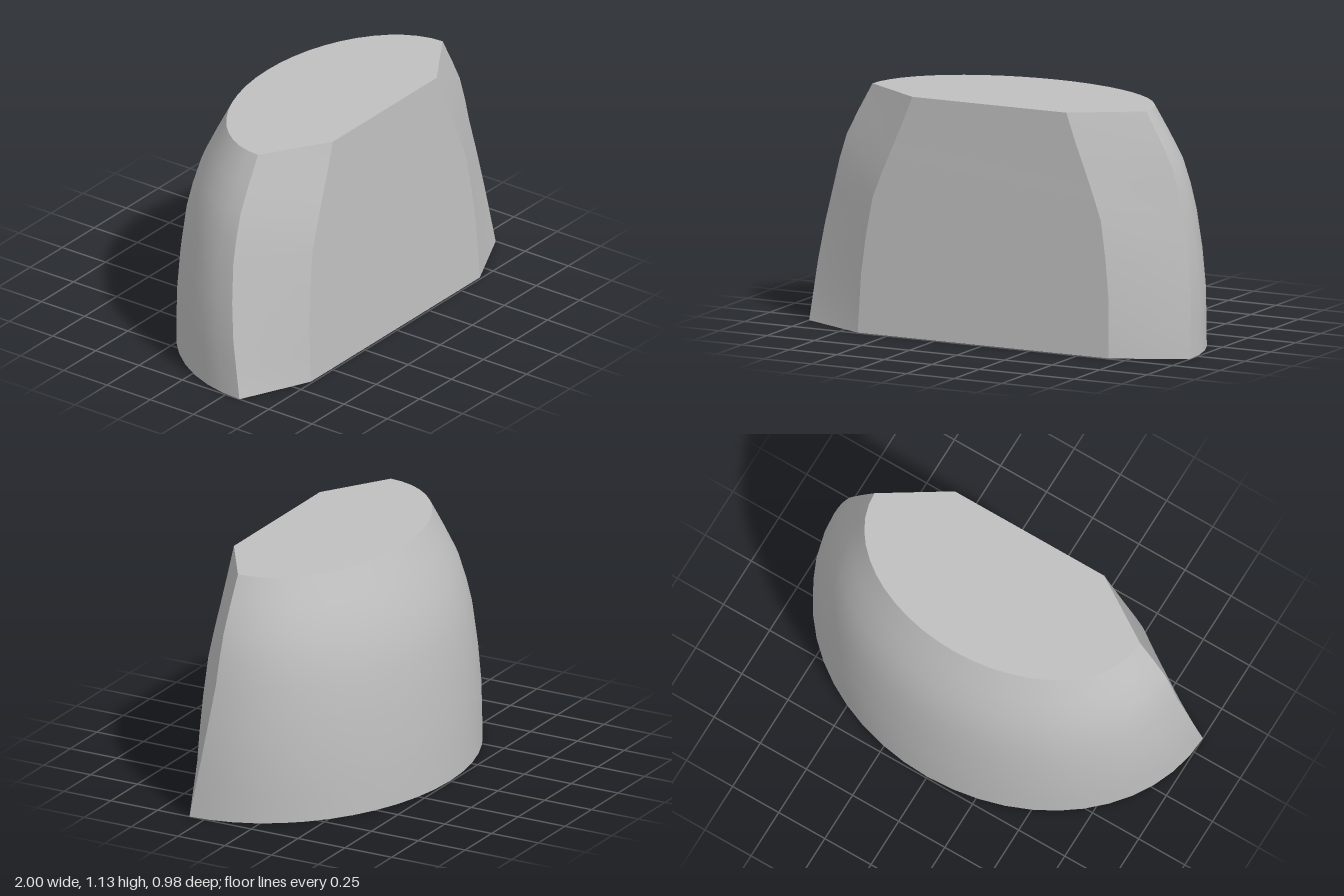
import * as THREE from 'three';

// Cross-section rule per height: y, half width and z of the side corner,
// half width and z of the flat front, z of the rounded back
const LEVELS = [
  [0.00, 1.00, 0.33, 0.66, 0.490, -0.493],
  [0.14, 0.99, 0.305, 0.655, 0.483, -0.488],
  [0.28, 0.98, 0.28, 0.65, 0.475, -0.48],
  [0.46, 0.955, 0.255, 0.63, 0.466, -0.463],
  [0.64, 0.92, 0.235, 0.60, 0.456, -0.44],
  [0.76, 0.892, 0.232, 0.555, 0.45, -0.41],
  [0.88, 0.855, 0.23, 0.505, 0.443, -0.372],
  [1.00, 0.793, 0.23, 0.455, 0.437, -0.315],
  [1.13, 0.72, 0.23, 0.405, 0.430, -0.25],
];
const ARC_STEPS = 24;

// Half-elliptical back of a level, from the +x corner round to the -x corner
function backArc([y, w, zc, , , zb]) {
  return Array.from({ length: ARC_STEPS + 1 }, (_, i) => {
    const t = (Math.PI * i) / ARC_STEPS;
    return [w * Math.cos(t), y, zc - (zc - zb) * Math.sin(t)];
  });
}

const frontLine = ([y, , , fx, fz]) => [[-fx, y, fz], [fx, y, fz]];
const leftLine = ([y, w, zc, fx, fz]) => [[fx, y, fz], [w, y, zc]];
const rightLine = ([y, w, zc, fx, fz]) => [[-w, y, zc], [-fx, y, fz]];

function makeGeometry(points, index) {
  const g = new THREE.BufferGeometry();
  g.setAttribute('position', new THREE.Float32BufferAttribute(points.flat(), 3));
  g.setIndex(index);
  g.computeVertexNormals();
  return g;
}

// Smooth skin through one row of points per level
function loft(rowOf) {
  const rows = LEVELS.map(rowOf);
  const n = rows[0].length;
  const index = [];
  for (let i = 0; i < rows.length - 1; i++) {
    for (let j = 0; j < n - 1; j++) {
      const a = i * n + j, c = a + n;
      index.push(a, a + 1, c, a + 1, c + 1, c);
    }
  }
  return makeGeometry(rows.flat(), index);
}

// Flat end face of the convex outline
function cap(level, up) {
  const ring = [...frontLine(level), ...backArc(level)];
  const index = [];
  for (let i = 1; i < ring.length - 1; i++) {
    index.push(0, up ? i : i + 1, up ? i + 1 : i);
  }
  return makeGeometry(ring, index);
}

export function createModel() {
  const model = new THREE.Group();
  model.name = 'roundedBlock';
  const grey = new THREE.MeshStandardMaterial({ color: 0xbfbfbf });
  grey.name = 'light grey';

  const parts = {
    backShell: loft(backArc),
    frontPanel: loft(frontLine),
    leftChamfer: loft(leftLine),
    rightChamfer: loft(rightLine),
    topFace: cap(LEVELS[LEVELS.length - 1], true),
    bottomFace: cap(LEVELS[0], false),
  };
  for (const [name, geometry] of Object.entries(parts)) {
    const mesh = new THREE.Mesh(geometry, grey);
    mesh.name = name;
    model.add(mesh);
  }
  return model;
}
